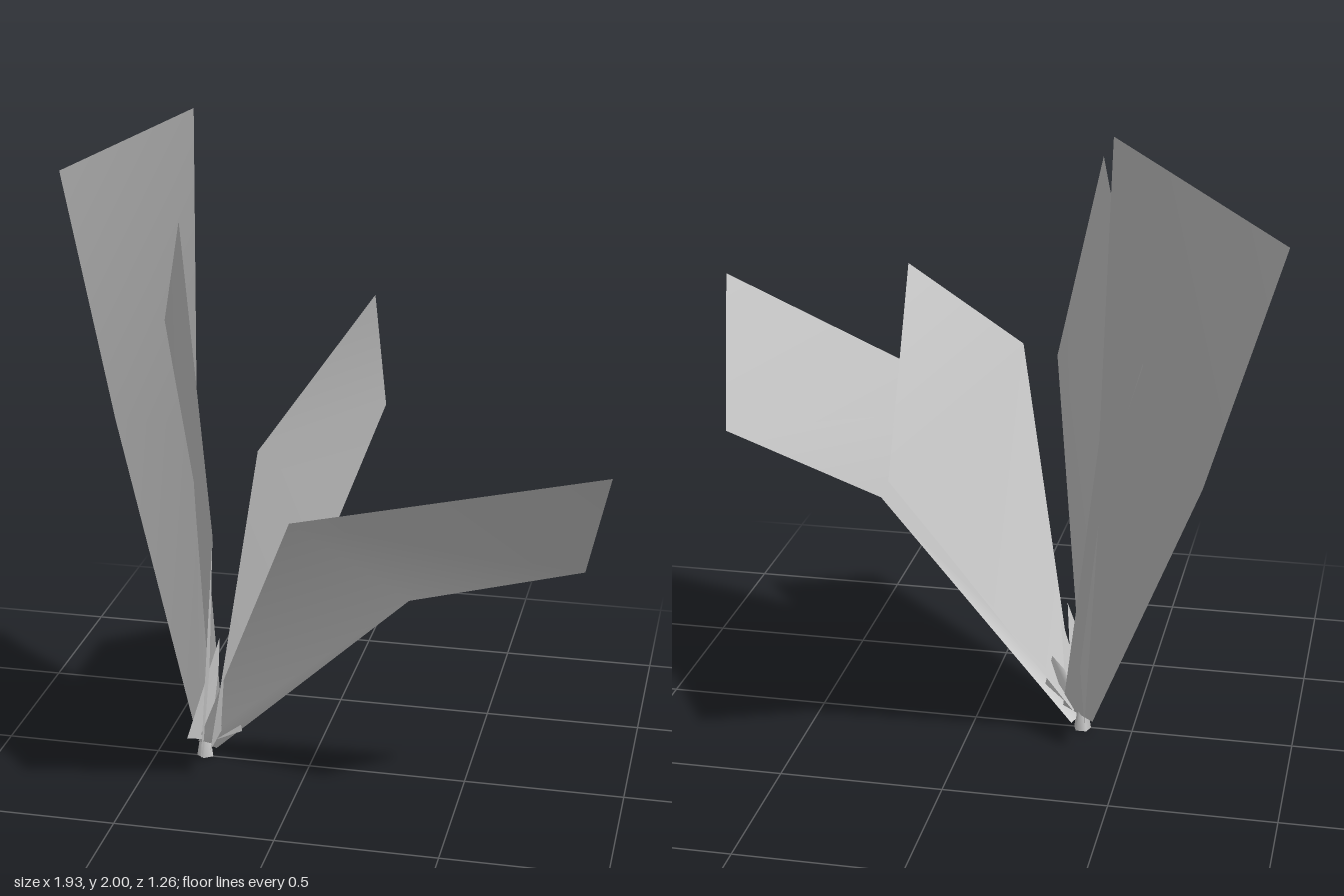
import * as THREE from 'three';

const material = new THREE.MeshStandardMaterial({ color: 0xcccccc, side: THREE.DoubleSide });

// Leaf as a strip of cross-sections, each a [left, right] pair of points
function leaf(name, sections) {
  const geometry = new THREE.BufferGeometry();
  geometry.setAttribute('position', new THREE.Float32BufferAttribute(sections.flat(2), 3));
  const index = [];
  for (let i = 0; i < sections.length - 1; i++) {
    const a = i * 2;
    index.push(a, a + 1, a + 3, a, a + 3, a + 2);
  }
  geometry.setIndex(index);
  geometry.computeVertexNormals();
  const mesh = new THREE.Mesh(geometry, material);
  mesh.name = name;
  return mesh;
}

export function createModel() {
  const plant = new THREE.Group();
  plant.name = 'plant';

  // Four large leaves: base, bend and tip sections
  plant.add(leaf('tallBackLeaf', [
    [[-0.38, 0.04, -0.04], [-0.28, 0.07, 0]],
    [[-0.74, 0.98, -0.41], [-0.415, 1.04, -0.23]],
    [[-0.97, 1.75, -0.615], [-0.48, 2, -0.495]],
  ]));
  plant.add(leaf('broadFrontLeaf', [
    [[-0.375, 0.095, -0.17], [-0.32, 0.055, 0.14]],
    [[-0.415, 0.87, -0.18], [-0.14, 1.02, 0.635]],
    [[-0.56, 1.33, -0.39], [-0.355, 1.8, 0.155]],
  ]));
  plant.add(leaf('middleLeaf', [
    [[-0.31, 0.05, 0.06], [-0.32, 0.07, -0.04]],
    [[-0.09, 1.16, 0.295], [0.02, 0.72, -0.37]],
    [[0.17, 1.525, -0.155], [0.12, 1.02, -0.63]],
  ]));
  plant.add(leaf('outstretchedLeaf', [
    [[-0.36, 0.06, 0.02], [-0.31, 0.02, -0.02]],
    [[0.005, 0.945, 0.305], [0.34, 0.665, 0.15]],
    [[0.965, 1.255, 0.57], [0.87, 0.83, 0.215]],
  ]));

  // Small sprouts at the base
  plant.add(leaf('uprightSprout', [
    [[-0.375, 0.105, 0.1], [-0.33, 0.05, -0.02]],
    [[-0.29, 0.42, 0], [-0.3, 0.3, -0.02]],
  ]));
  plant.add(leaf('sideSprout', [
    [[-0.33, 0.05, 0], [-0.215, 0.11, 0.02]],
    [[-0.285, 0.19, 0], [-0.245, 0.24, -0.01]],
  ]));

  // Tapered stem
  const stem = new THREE.Mesh(new THREE.CylinderGeometry(0.008, 0.028, 0.13, 5), material);
  stem.name = 'stem';
  stem.position.set(-0.343, 0.065, -0.008);
  plant.add(stem);

  return plant;
}
